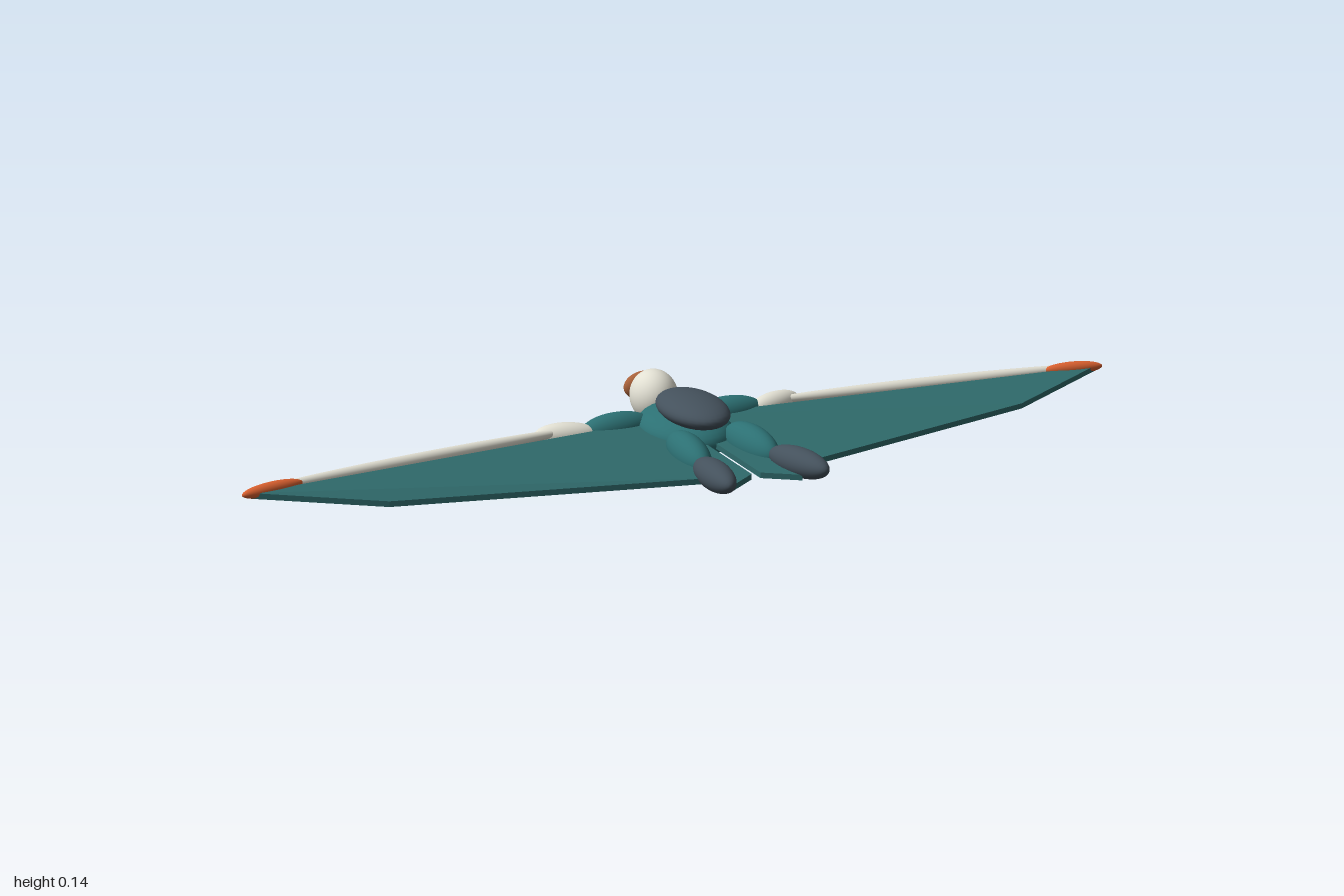
import * as THREE from 'three';

const paint = (name, color) => {
  const m = new THREE.MeshStandardMaterial({ color });
  m.name = name;
  return m;
};

export function createModel() {
  const model = new THREE.Group();
  model.name = 'wingsuitFlyer';
  const teal = paint('suitTeal', 0x2c7073);
  const fabric = paint('wingTeal', 0x2f6a6b);
  const slate = paint('slate', 0x44515c);
  const ivory = paint('ivory', 0xe2e0d3);
  const amber = paint('visorBronze', 0xa8613a);
  const orange = paint('tipOrange', 0xd9602f);

  const add = (name, geometry, material) => {
    const mesh = new THREE.Mesh(geometry, material);
    mesh.name = name;
    model.add(mesh);
    return mesh;
  };

  // Ellipsoid with radii along x, y, z
  const blob = (name, material, centre, radii) => {
    const mesh = add(name, new THREE.SphereGeometry(1, 32, 20), material);
    mesh.position.set(...centre);
    mesh.scale.set(...radii);
    return mesh;
  };

  // Ellipsoid stretched between two points
  const limb = (name, material, from, to, rx, rz = rx) => {
    const a = new THREE.Vector3(...from), b = new THREE.Vector3(...to);
    const mesh = add(name, new THREE.SphereGeometry(1, 28, 18), material);
    mesh.position.copy(a).lerp(b, 0.5);
    mesh.scale.set(rx, a.distanceTo(b) / 2, rz);
    mesh.quaternion.setFromUnitVectors(new THREE.Vector3(0, 1, 0), b.sub(a).normalize());
    return mesh;
  };

  // Thin fabric panel: convex outline fanned from its first corner, with rim
  const panel = (name, material, outline, thickness) => {
    const pos = [];
    const top = (p) => [p[0], p[1] + thickness / 2, p[2]];
    const low = (p) => [p[0], p[1] - thickness / 2, p[2]];
    const tri = (a, b, c) => pos.push(...a, ...b, ...c);
    // outlines run counter-clockwise seen from above
    for (let i = 1; i < outline.length - 1; i++) {
      const [a, b, c] = [outline[0], outline[i], outline[i + 1]];
      tri(top(a), top(b), top(c));
      tri(low(a), low(c), low(b));
    }
    outline.forEach((p, i) => {
      const q = outline[(i + 1) % outline.length];
      tri(low(p), low(q), top(q));
      tri(low(p), top(q), top(p));
    });
    const g = new THREE.BufferGeometry();
    g.setAttribute('position', new THREE.Float32BufferAttribute(pos, 3));
    g.computeVertexNormals();
    return add(name, g, material);
  };

  // Body, pack and head
  blob('torso', teal, [0, 0.053, -0.107], [0.096, 0.05, 0.134]);
  blob('backPack', slate, [0, 0.109, -0.068], [0.068, 0.033, 0.117]);
  blob('helmet', ivory, [0, 0.082, -0.264], [0.052, 0.058, 0.059]);
  blob('visor', amber, [0, 0.092, -0.31], [0.05, 0.033, 0.023]);

  for (const [side, s] of [['left', 1], ['right', -1]]) {
    const at = (x, y, z) => [s * x, y, z];
    const ordered = (pts) => (s > 0 ? pts : pts.reverse());

    // Legs
    limb(side + 'Thigh', teal, at(0.065, 0.06, -0.03), at(0.08, 0.058, 0.16), 0.036, 0.042);
    limb(side + 'Boot', slate, at(0.083, 0.06, 0.135), at(0.108, 0.077, 0.333), 0.032, 0.031);

    // Arms
    limb(side + 'UpperArm', teal, at(0.05, 0.056, -0.17), at(0.215, 0.054, -0.168), 0.034);
    limb(side + 'Forearm', ivory, at(0.18, 0.053, -0.157), at(0.312, 0.058, -0.19), 0.026);

    // Leading edge spar and its tip
    limb(side + 'Spar', ivory, at(0.2, 0.061, -0.183), at(0.98, 0.079, -0.047), 0.014);
    limb(side + 'WingTip', orange, at(0.865, 0.078, -0.062), at(1.0, 0.079, -0.034), 0.015);

    // Arm wing, then the split membrane between the legs
    panel(side + 'Wing', fabric, ordered([
      at(0.05, 0.055, -0.165), at(0.05, 0.051, 0.1), at(0.09, 0.051, 0.218),
      at(0.73, 0.051, 0.066), at(0.98, 0.075, -0.034),
    ]), 0.012);
    panel(side + 'LegMembrane', fabric, ordered([
      at(0.01, 0.051, -0.02), at(0.01, 0.051, 0.23),
      at(0.08, 0.051, 0.28), at(0.08, 0.051, -0.02),
    ]), 0.012);
  }

  return model;
}
